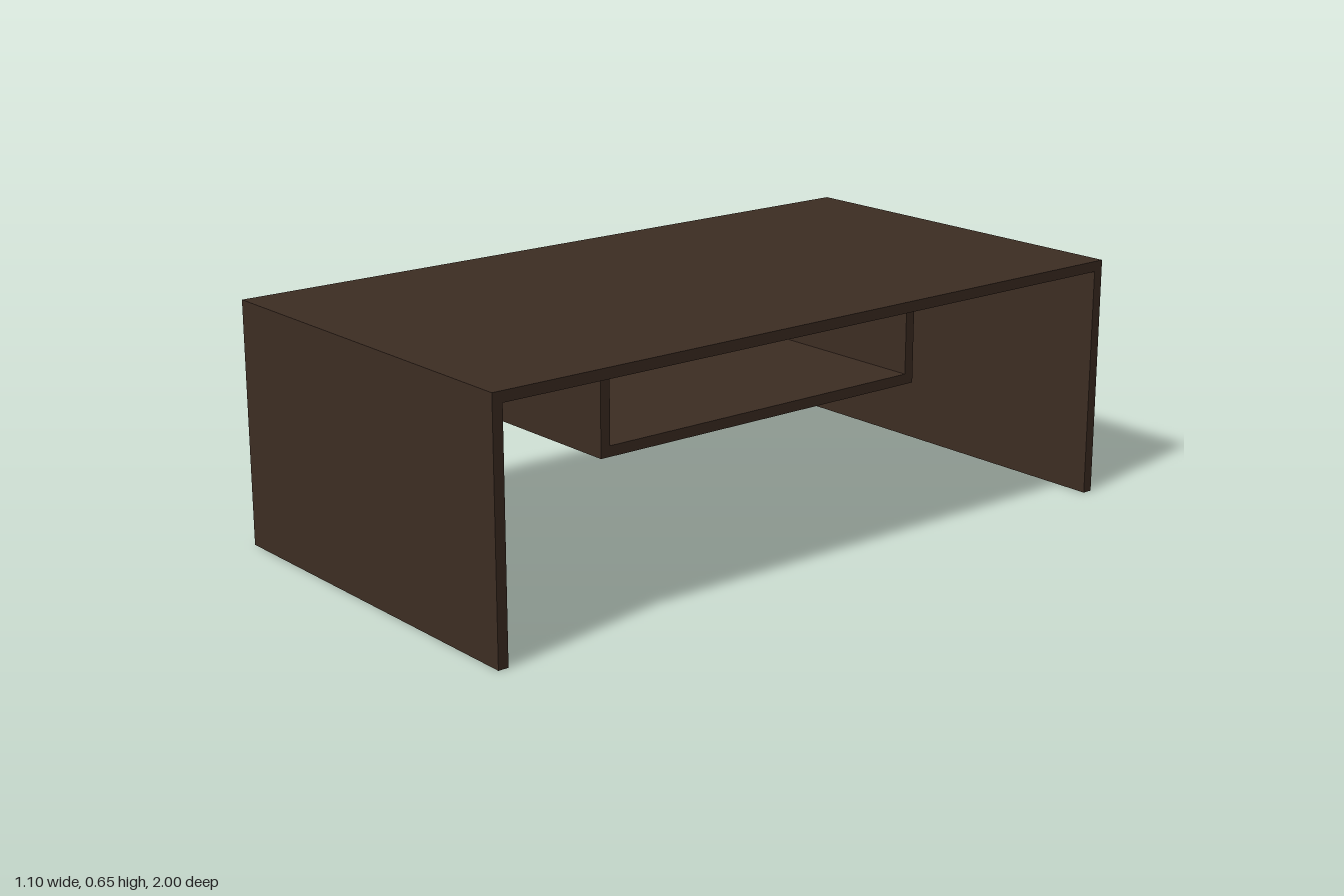
import * as THREE from 'three';

export function createModel() {
  const table = new THREE.Group();
  table.name = 'coffeeTable';
  const wood = new THREE.MeshStandardMaterial({ color: 0x3d2d23 });
  wood.name = 'darkWood';

  const W = 1.08, L = 1.991, H = 0.65, T = 0.028; // width, length, height, board thickness
  const shelfW = 0.62, shelfL = 1.045, shelfY = 0.345;

  // A flat board centred on x, resting at the given height
  function board(name, w, h, d, y, z) {
    const mesh = new THREE.Mesh(new THREE.BoxGeometry(w, h, d), wood);
    mesh.name = name;
    mesh.position.set(0, y + h / 2, z);
    table.add(mesh);
  }

  // Top and hanging shelf
  board('tableTop', W, T, L, H - T, 0);
  board('shelf', shelfW, T, shelfL, shelfY, 0);

  // End panels and shelf supports, mirrored front to back
  for (const [side, s] of [['front', 1], ['back', -1]]) {
    board(side + 'EndPanel', W, H - T, T, 0, s * (L - T) / 2);
    board(side + 'ShelfSupport', shelfW, H - shelfY - 2 * T, T, shelfY + T, s * (shelfL - T) / 2);
  }

  // The table stands very slightly turned
  table.rotation.y = 0.008;
  const model = new THREE.Group();
  model.add(table);
  return model;
}
